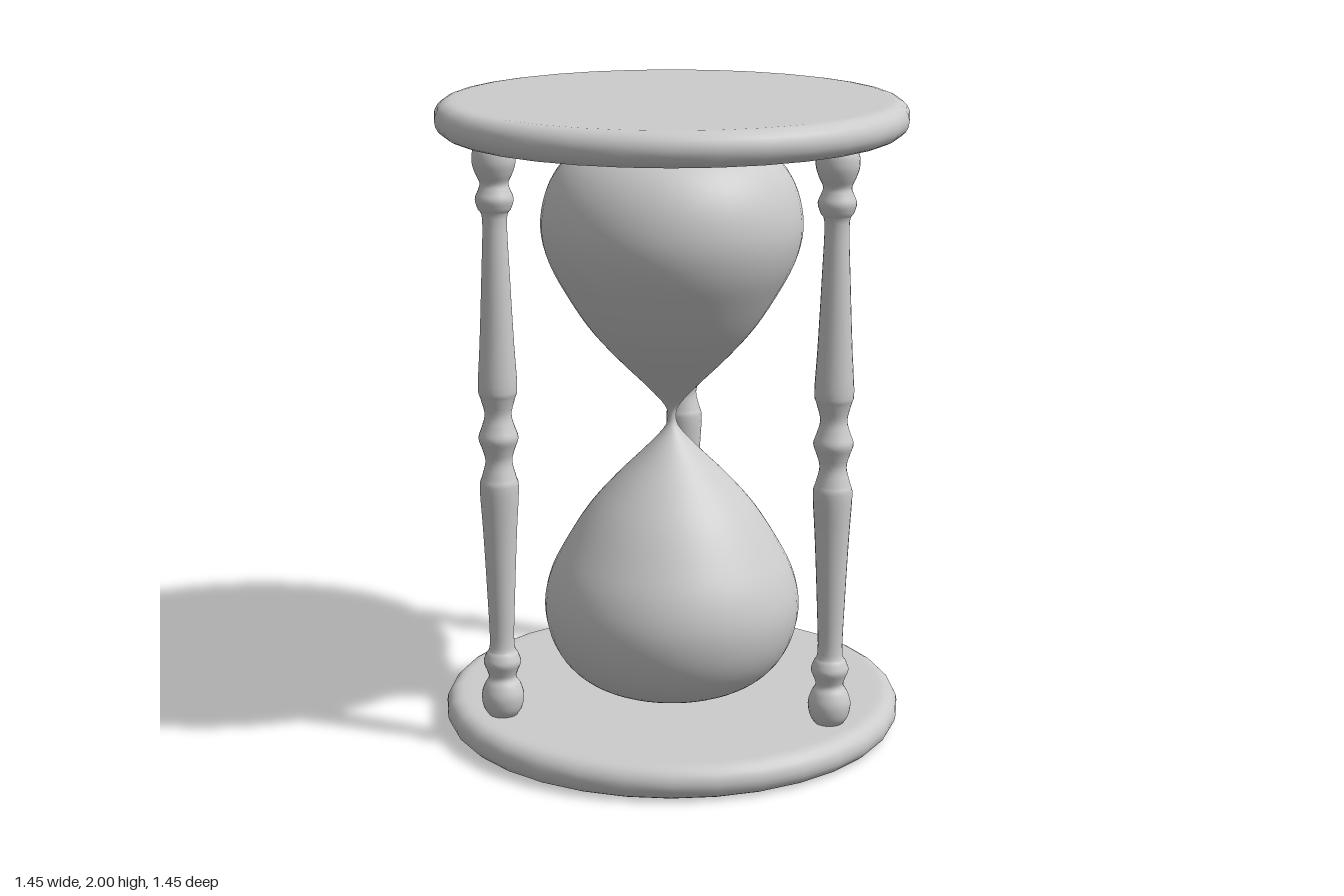
import * as THREE from 'three';

const material = new THREE.MeshStandardMaterial({ color: 0xcccccc });

// Smooth turned shape through [radius, height] points, listed bottom to top
function turned(name, points, steps, sides) {
  const curve = new THREE.SplineCurve(points.map(([r, y]) => new THREE.Vector2(r, y)));
  const profile = curve.getPoints(steps);
  profile.forEach((p) => { p.x = Math.max(p.x, 0); });
  const mesh = new THREE.Mesh(new THREE.LatheGeometry(profile, sides), material);
  mesh.name = name;
  return mesh;
}

// Round plate with a fully rounded rim
function plate(name, y) {
  const half = 0.053, flat = 0.672;
  const profile = [new THREE.Vector2(0, -half), new THREE.Vector2(flat - 0.02, -half)];
  for (let i = 0; i <= 10; i++) {
    const a = -Math.PI / 2 + (Math.PI * i) / 10;
    profile.push(new THREE.Vector2(flat + half * Math.cos(a), half * Math.sin(a)));
  }
  profile.push(new THREE.Vector2(flat - 0.02, half), new THREE.Vector2(0, half));
  const mesh = new THREE.Mesh(new THREE.LatheGeometry(profile, 32), material);
  mesh.name = name;
  mesh.position.y = y;
  return mesh;
}

export function createModel() {
  const group = new THREE.Group();
  group.name = 'hourglass';

  group.add(plate('bottomPlate', 0.053), plate('topPlate', 1.947));

  // Glass: upper half of the profile, mirrored about the neck at y = 1
  const upper = [
    [0.013, 1], [0.026, 1.04], [0.085, 1.105], [0.18, 1.2], [0.262, 1.295],
    [0.33, 1.4], [0.382, 1.5], [0.405, 1.6], [0.392, 1.7], [0.35, 1.785],
    [0.285, 1.846], [0.2, 1.882], [0.1, 1.893], [0, 1.894],
  ];
  const lower = upper.slice(1).reverse().map(([r, y]) => [r, 2 - y]);
  group.add(turned('glassBulbs', [...lower, ...upper], 96, 48));

  // Turned posts, three around the glass
  const post = [
    [0.044, 0.105], [0.06, 0.13], [0.066, 0.17], [0.056, 0.205], [0.043, 0.228],
    [0.048, 0.25], [0.058, 0.278], [0.05, 0.305], [0.038, 0.34],
    [0.043, 0.5], [0.052, 0.7], [0.06, 0.84], [0.053, 0.875], [0.041, 0.925],
    [0.05, 0.965], [0.061, 1], [0.05, 1.035], [0.041, 1.075],
    [0.053, 1.125], [0.06, 1.16], [0.052, 1.3], [0.043, 1.5], [0.037, 1.67],
    [0.05, 1.705], [0.058, 1.735], [0.048, 1.762], [0.043, 1.783],
    [0.055, 1.81], [0.065, 1.842], [0.064, 1.875], [0.056, 1.895],
  ];
  for (let i = 0; i < 3; i++) {
    const a = (i * Math.PI * 2) / 3;
    const mesh = turned('post' + (i + 1), post, 110, 24);
    mesh.position.set(0.587 * Math.cos(a), 0, 0.587 * Math.sin(a));
    group.add(mesh);
  }
  return group;
}
